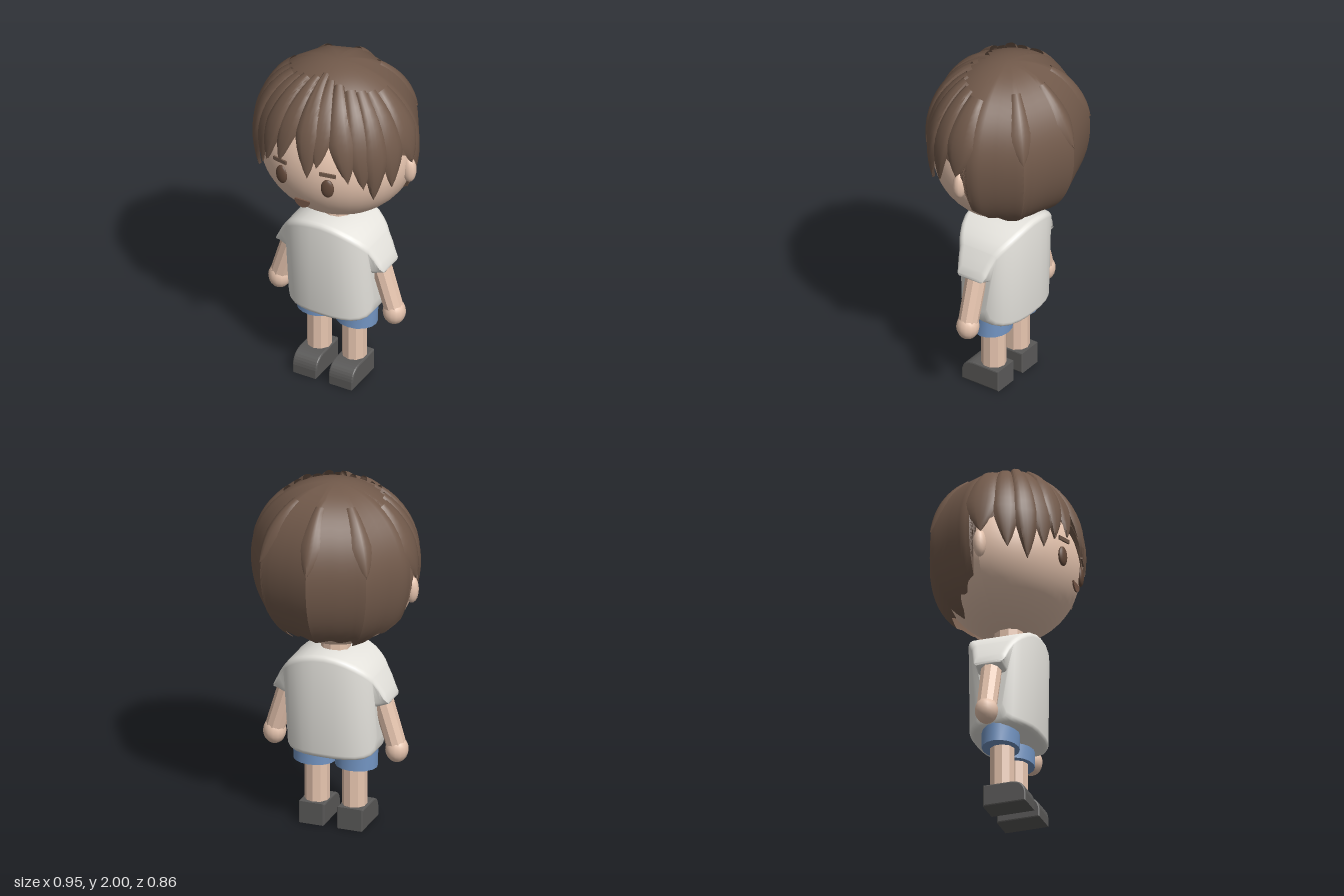
import * as THREE from 'three';
import { toCreasedNormals } from 'three/addons/utils/BufferGeometryUtils.js';

const mat = (name, color, side = THREE.FrontSide) => {
  const m = new THREE.MeshStandardMaterial({ color, side });
  m.name = name;
  return m;
};

// Grid surface: fn(i, j) returns a point; rows x cols quads
function grid(rows, cols, fn, crease) {
  const pos = [], idx = [];
  for (let i = 0; i <= rows; i++) for (let j = 0; j <= cols; j++) pos.push(...fn(i, j));
  for (let i = 0; i < rows; i++) for (let j = 0; j < cols; j++) {
    const a = i * (cols + 1) + j, b = a + 1, c = a + cols + 1, d = c + 1;
    idx.push(a, c, b, b, c, d);
  }
  const g = new THREE.BufferGeometry();
  g.setAttribute('position', new THREE.Float32BufferAttribute(pos, 3));
  g.setIndex(idx);
  g.computeVertexNormals();
  return toCreasedNormals(g, crease);
}

// Linear lookup in a list of [x, y] keys
function lookup(keys, x) {
  for (let i = 1; i < keys.length; i++) {
    const [x0, y0] = keys[i - 1], [x1, y1] = keys[i];
    if (x <= x1) return y0 + (y1 - y0) * (x - x0) / (x1 - x0);
  }
  return keys[keys.length - 1][1];
}

// Hair surface: azimuth 0 is the front, phi runs down from the crown;
// the back is faceted between a few key azimuths
const HAIR_Y = 1.54, HAIR_RY = 0.455;
const FACETS = [1.78, 2.4, Math.PI];
function hairPoint(az, phi, lift = 0) {
  const a = Math.abs(az) > Math.PI ? az - Math.sign(az) * 2 * Math.PI : az;
  const s = Math.sign(a) || 1, m = Math.abs(a);
  const rim = k => [0.455 * Math.sin(k), (Math.cos(k) > 0 ? 0.416 : 0.43) * Math.cos(k)];
  let [x, z] = rim(m);
  for (let i = 1; i < FACETS.length; i++) {
    const p = FACETS[i - 1], q = FACETS[i];
    if (m >= p && m <= q) {
      const t = (m - p) / (q - p), A = rim(p), B = rim(q);
      x = A[0] + (B[0] - A[0]) * t;
      z = A[1] + (B[1] - A[1]) * t;
    }
  }
  // Fuller below the widest line, most of all at the sides
  const sn = Math.max(0, Math.sin(phi));
  const power = 0.63 + 0.12 * THREE.MathUtils.clamp(m - 1.7, 0, 1);
  const k = (phi > Math.PI / 2 ? Math.pow(sn, power) : sn) * (1 + lift / 0.43);
  return [s * x * k, HAIR_Y + (HAIR_RY + lift) * Math.cos(phi), z * k];
}
const phiAt = y => Math.acos((y - HAIR_Y) / HAIR_RY);

// Tapered lock lying on the hair surface, flat in the middle with thin edges
function lock(az, startPhi, tipY, half, lift, skew = 0) {
  const end = phiAt(tipY), n = 12, c = 6;
  return grid(n, c, (i, j) => {
    const t = i / n, u = j / c * 2 - 1;
    const w = half * (t < 0.6 ? 0.85 + t * 0.3 : 1.03 * Math.pow((1 - t) / 0.4, 0.75));
    const h = lift * (1 - 0.4 * t) * (1 - u ** 4) - 0.008 * u ** 4 * (1 - t);
    return hairPoint(az + skew * t * t + u * w, startPhi + (end - startPhi) * t, h);
  }, 0.7);
}

export function createModel() {
  const root = new THREE.Group();
  const skin = mat('skin', 0xe9c7b1);
  const hair = mat('hair', 0x725a4b, THREE.DoubleSide);
  const cloth = mat('shirt white', 0xe6e4de, THREE.DoubleSide);
  const blue = mat('shorts blue', 0x7496c4);
  const dark = mat('shoe grey', 0x5a5958);
  const brown = mat('eye brown', 0x63493a);
  const mouthMat = mat('mouth brown', 0x755646);
  const flatSkin = g => { const f = g.toNonIndexed(); f.computeVertexNormals(); return f; };
  const add = (name, geo, m, x = 0, y = 0, z = 0) => {
    const o = new THREE.Mesh(geo, m);
    o.name = name;
    o.position.set(x, y, z);
    root.add(o);
    return o;
  };

  // Head, slightly narrower behind
  const headGeo = new THREE.SphereGeometry(1, 40, 28);
  headGeo.scale(0.435, 0.39, 0.395);
  const hp = headGeo.attributes.position;
  for (let i = 0; i < hp.count; i++) {
    const z = hp.getZ(i);
    if (z < 0) hp.setXYZ(i, hp.getX(i) * (1 + 0.12 * z / 0.395), hp.getY(i), z * 0.9);
  }
  headGeo.computeVertexNormals();
  add('head', headGeo, skin, 0, 1.46, 0);
  add('neck', flatSkin(new THREE.CylinderGeometry(0.08, 0.08, 0.16, 10)), skin, 0, 1.05, 0.02);

  // Mouth: half disc
  const lip = new THREE.Shape();
  lip.absarc(0, 0, 0.046, Math.PI, Math.PI * 2, false);
  lip.closePath();
  add('mouth', new THREE.ExtrudeGeometry(lip, { depth: 0.009, bevelEnabled: false }), mouthMat, 0, 1.32, 0.395);

  // Hair cap with a ragged hem
  const hem = [[0, 1.15], [1.2, 1.2], [1.32, 1.5], [1.5, 1.55], [1.6, 1.6], [1.65, 2.2], [1.8, 2.28],
    [1.9, 2.42], [2.05, 2.38], [2.2, 2.6], [2.4, 2.72], [2.5, 2.45], [2.7, 2.55], [2.85, 2.45], [Math.PI, 2.55]];
  const SEG = 120;
  add('hairCap', grid(24, SEG, (i, j) => {
    const az = (j / SEG * 2 - 1) * Math.PI;
    return hairPoint(az, lookup(hem, Math.abs(az)) * i / 24);
  }, 0.45), hair);

  // Fringe locks: azimuth, tip height, half width, sideways sweep
  const fringe = [[-1.2, 1.4, 0.19, 0.03], [-0.95, 1.35, 0.18, 0.05], [-0.74, 1.43, 0.18, 0.06],
    [-0.5, 1.49, 0.18, -0.03], [-0.25, 1.53, 0.17, -0.06], [0.02, 1.49, 0.18, 0.07], [0.24, 1.56, 0.17, -0.04],
    [0.48, 1.48, 0.18, 0.1], [0.75, 1.43, 0.18, 0.02], [0.96, 1.35, 0.18, -0.05], [1.2, 1.4, 0.19, -0.03]];
  fringe.forEach(([az, tip, w, skew], i) =>
    add('fringeLock', lock(az, 0.33 + 0.3 * Math.abs(Math.sin(az)), tip, w, 0.016 + 0.01 * (i % 2), skew), hair));

  // Seam locks at the back of the crown
  for (const az of [-2.4, 2.4, Math.PI]) add('backLock', lock(az, 0.55, 1.6, 0.17, 0.008), hair);

  // Shirt: oval body running into sleeves: [x, bottom, top, half depth below, half depth above]
  const half = [[0, 0.44, 1.035, 0.19, 0.19], [0.06, 0.44, 1.03, 0.189, 0.189], [0.12, 0.44, 1.015, 0.18, 0.182],
    [0.17, 0.44, 0.992, 0.162, 0.168], [0.21, 0.445, 0.965, 0.136, 0.15], [0.235, 0.455, 0.943, 0.106, 0.135],
    [0.248, 0.475, 0.927, 0.075, 0.125], [0.254, 0.53, 0.92, 0.055, 0.12], [0.256, 0.735, 0.917, 0.085, 0.118],
    [0.285, 0.745, 0.873, 0.082, 0.105], [0.31, 0.755, 0.825, 0.08, 0.092],
    [0.328, 0.765, 0.785, 0.077, 0.081], [0.33, 0.772, 0.774, 0.002, 0.002]];
  const sections = [...half.slice(1).reverse().map(([x, ...r]) => [-x, ...r]), ...half];
  add('shirt', grid(sections.length - 1, 20, (i, j) => {
    const [x, lo, hi, below, above] = sections[i];
    const q = Math.floor((j % 20) / 5), d = q < 2 ? above : below;
    const r = Math.min(0.03, d, (hi - lo) / 2);
    const a = (q + (j % 5) / 4) * Math.PI / 2;
    const cz = (q === 0 || q === 3 ? 1 : -1) * (d - r), cy = q < 2 ? hi - r : lo + r;
    return [x, cy + r * Math.sin(a), 0.02 + cz + r * Math.cos(a)];
  }, 1.0), cloth);

  // Shoe side profile, extruded across the foot
  const sole = new THREE.Shape();
  sole.moveTo(-0.055, 0.008);
  sole.lineTo(0.172, 0.008);
  sole.lineTo(0.172, 0.05);
  sole.quadraticCurveTo(0.165, 0.117, 0.09, 0.117);
  sole.lineTo(-0.055, 0.117);
  const shoeGeo = new THREE.ExtrudeGeometry(sole, {
    depth: 0.132, bevelSize: 0.008, bevelThickness: 0.008, bevelSegments: 2, curveSegments: 8 });
  shoeGeo.translate(0, 0, -0.066);
  shoeGeo.rotateY(-Math.PI / 2);

  for (const s of [1, -1]) {
    const side = s > 0 ? 'left' : 'right';

    // Face and ears
    const eye = add(side + 'Eye', new THREE.SphereGeometry(1, 20, 14), brown, s * 0.14, 1.425, 0.375);
    eye.scale.set(0.037, 0.056, 0.018);
    eye.rotation.y = s * 0.2;
    const brow = add(side + 'Brow', new THREE.BoxGeometry(0.092, 0.022, 0.009), hair, s * 0.145, 1.518, 0.384);
    brow.rotation.set(0, s * 0.25, -s * 0.06);
    const ear = add(side + 'Ear', new THREE.SphereGeometry(1, 12, 10), skin, s * 0.437, 1.43, 0.01);
    ear.scale.set(0.04, 0.078, 0.036);
    add(side + 'SideLock', lock(s * 1.52, 0.66, 1.49, 0.24, 0.014), hair);

    // Arm and hand
    const from = new THREE.Vector3(s * 0.265, 0.77, 0.018), to = new THREE.Vector3(s * 0.348, 0.5, 0.018);
    const dir = from.clone().sub(to);
    const arm = add(side + 'Arm', flatSkin(new THREE.CylinderGeometry(0.058, 0.055, dir.length(), 10)), skin);
    arm.position.copy(from).add(to).multiplyScalar(0.5);
    arm.quaternion.setFromUnitVectors(new THREE.Vector3(0, 1, 0), dir.normalize());
    const hand = add(side + 'Hand', new THREE.SphereGeometry(1, 14, 10), skin, s * 0.35, 0.48, 0.018);
    hand.scale.set(0.063, 0.074, 0.063);

    // Leg, shorts and shoe
    add(side + 'Leg', flatSkin(new THREE.CylinderGeometry(0.068, 0.068, 0.34, 10)), skin, s * 0.107, 0.27, 0.02);
    const shorts = add(side + 'ShortsLeg',
      toCreasedNormals(new THREE.CylinderGeometry(1, 0.98, 0.16, 16), 0.5), blue, s * 0.119, 0.435, 0.016);
    shorts.scale.set(0.12, 1, 0.102);
    add(side + 'Shoe', shoeGeo, dark, s * 0.11, 0, 0);
  }
  return root;
}
